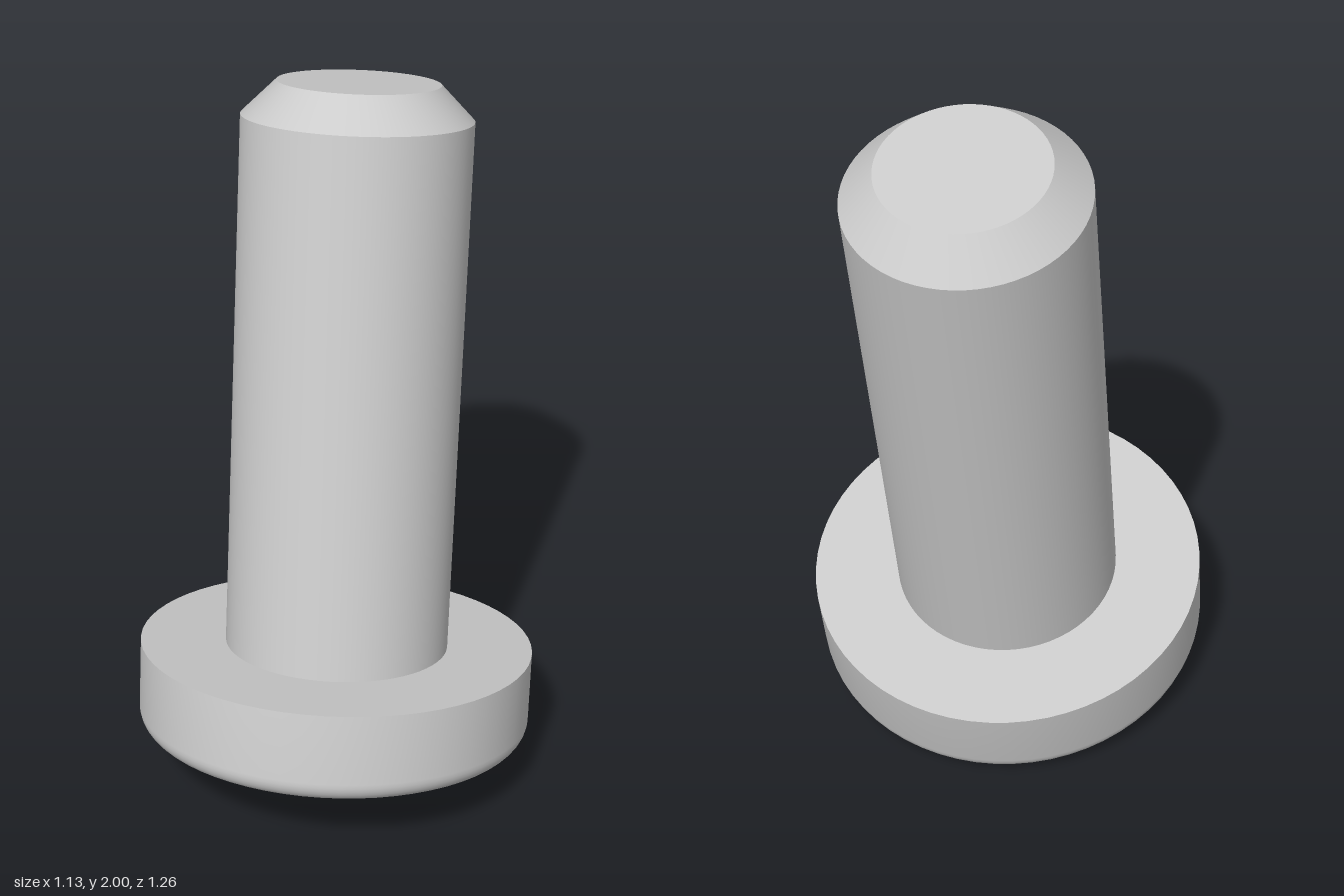
import * as THREE from 'three';
import { toCreasedNormals } from 'three/addons/utils/BufferGeometryUtils.js';

const SEGMENTS = 64;
const HEAD_R = 0.565, HEAD_H = 0.26, FILLET = 0.06;
const SHANK_R = 0.32, TIP_R = 0.225, CHAMFER_Y = 1.782, LENGTH = 1.877;
const ARM = 0.325, ARM_HALF = 0.1, ARM_FILLET = 0.05, DEPTH = 0.103;
const TILT = THREE.MathUtils.degToRad(13.3);

const material = new THREE.MeshStandardMaterial({ color: 0xcccccc });

function addMesh(group, name, geometry) {
  const mesh = new THREE.Mesh(toCreasedNormals(geometry, 0.5), material);
  mesh.name = name;
  group.add(mesh);
}

function lathe(points) {
  return new THREE.LatheGeometry(points.map(([r, y]) => new THREE.Vector2(r, y)), SEGMENTS);
}

// Cross outline with rounded inner corners, one arm per quarter turn
function crossPoints() {
  const points = [];
  const centre = new THREE.Vector2();
  for (let k = 0; k < 4; k++) {
    const arm = [new THREE.Vector2(ARM, -ARM_HALF), new THREE.Vector2(ARM, ARM_HALF)];
    const c = ARM_HALF + ARM_FILLET;
    for (let i = 0; i <= 5; i++) {
      const a = -Math.PI / 2 * (1 + i / 5);
      arm.push(new THREE.Vector2(c + ARM_FILLET * Math.cos(a), c + ARM_FILLET * Math.sin(a)));
    }
    points.push(...arm.map((p) => p.rotateAround(centre, k * Math.PI / 2)));
  }
  return points;
}

// Inward-facing walls rising from the outline to the given depth
function recessWalls(outline, depth) {
  const positions = [];
  outline.forEach((p, i) => {
    const q = outline[(i + 1) % outline.length];
    positions.push(p.x, 0, p.y, q.x, 0, q.y, p.x, depth, p.y);
    positions.push(q.x, 0, q.y, q.x, depth, q.y, p.x, depth, p.y);
  });
  const geometry = new THREE.BufferGeometry();
  geometry.setAttribute('position', new THREE.Float32BufferAttribute(positions, 3));
  return geometry;
}

export function createModel() {
  const model = new THREE.Group();
  model.name = 'screw';

  // Head rim with a rounded lower edge and a flat shoulder
  const rim = [];
  for (let i = 0; i <= 8; i++) {
    const a = (i / 8) * Math.PI / 2;
    rim.push([HEAD_R - FILLET + FILLET * Math.sin(a), FILLET - FILLET * Math.cos(a)]);
  }
  rim.push([HEAD_R, HEAD_H], [SHANK_R, HEAD_H]);
  addMesh(model, 'head', lathe(rim));

  // Shank with a chamfered tip
  addMesh(model, 'shank', lathe([
    [SHANK_R, HEAD_H], [SHANK_R, CHAMFER_Y], [TIP_R, LENGTH], [0, LENGTH],
  ]));

  // Underside of the head, pierced by the cross
  const cross = crossPoints();
  const underside = new THREE.Shape();
  underside.absarc(0, 0, HEAD_R - FILLET, 0, Math.PI * 2);
  underside.holes.push(new THREE.Path(cross));
  addMesh(model, 'headUnderside', new THREE.ShapeGeometry(underside, SEGMENTS / 2).rotateX(Math.PI / 2));

  // Cross-shaped drive recess
  addMesh(model, 'recessWalls', recessWalls(cross, DEPTH));
  addMesh(model, 'recessFloor',
    new THREE.ShapeGeometry(new THREE.Shape(cross)).rotateX(Math.PI / 2).translate(0, DEPTH, 0));

  // Lean backwards, resting on the edge of the head
  model.rotation.x = -TILT;
  model.position.set(0, 0.118, 0.1);
  return model;
}
